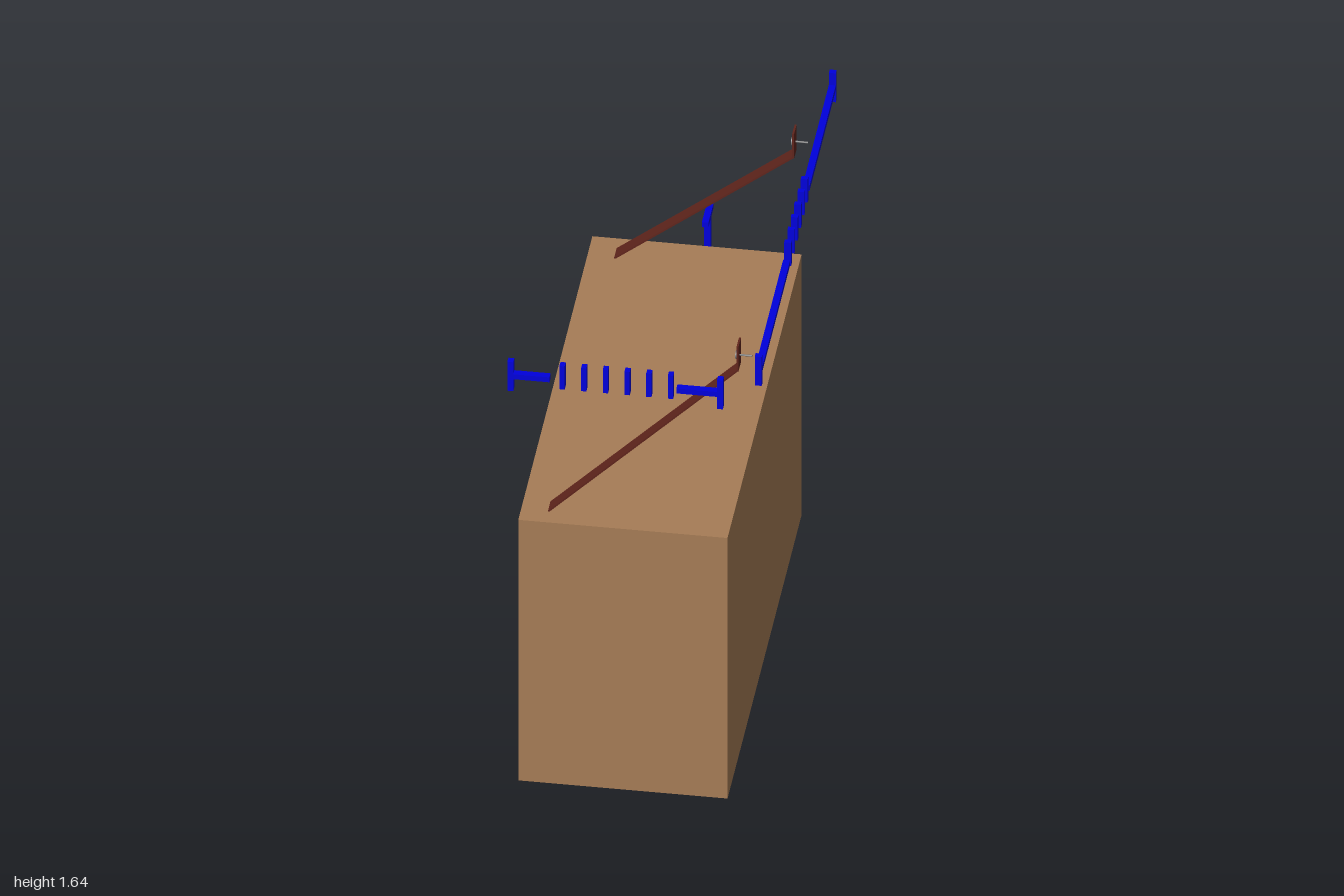
import * as THREE from 'three';

export function createModel() {
  const model = new THREE.Group();
  const mat = (name, color) => {
    const m = new THREE.MeshStandardMaterial({ color });
    m.name = name;
    return m;
  };
  const wood = mat('wood', 0xa67c56);
  const leather = mat('leather', 0x60251c);
  const metal = mat('metal', 0x777777);
  const blue = mat('dimension blue', 0x0000dc);

  const add = (parent, name, geometry, material) => {
    const mesh = new THREE.Mesh(geometry, material);
    mesh.name = name;
    parent.add(mesh);
    return mesh;
  };
  const group = (name) => {
    const g = new THREE.Group();
    g.name = name;
    model.add(g);
    return g;
  };
  // Box given by its lower and upper limits on each axis
  const block = (parent, name, material, [x0, x1], [y0, y1], [z0, z1]) => {
    const geometry = new THREE.BoxGeometry(x1 - x0, y1 - y0, z1 - z0);
    geometry.translate((x0 + x1) / 2, (y0 + y1) / 2, (z0 + z1) / 2);
    return add(parent, name, geometry, material);
  };

  // Cabinet limits
  const X0 = -0.367, X1 = 0.268, H = 0.957, Z0 = -0.639, Z1 = 0.853, T = 0.02;
  const midZ = (Z0 + Z1) / 2;

  // Cabinet carcass, open towards -x
  const cabinet = group('cabinet');
  block(cabinet, 'topPanel', wood, [X0, X1], [H - T, H], [Z0, Z1]);
  block(cabinet, 'bottomPanel', wood, [X0, X1], [0, T], [Z0, Z1]);
  block(cabinet, 'sidePanelFront', wood, [X0, X1], [T, H - T], [Z1 - T, Z1]);
  block(cabinet, 'sidePanelRear', wood, [X0, X1], [T, H - T], [Z0, Z0 + T]);
  block(cabinet, 'wallPanel', wood, [X1 - T, X1], [T, H - T], [Z0 + T, Z1 - T]);

  // Two sliding doors on separate tracks, each with a round finger hole
  const addDoor = (name, z0, z1, holeZ, outerX) => {
    const shape = new THREE.Shape();
    shape.moveTo(z0, T).lineTo(z1, T).lineTo(z1, H - T).lineTo(z0, H - T).closePath();
    const hole = new THREE.Path();
    hole.absarc(holeZ, H / 2 - 0.007, 0.055, 0, Math.PI * 2, true);
    shape.holes.push(hole);
    const geometry = new THREE.ExtrudeGeometry(shape, { depth: T, bevelEnabled: false, curveSegments: 16 });
    geometry.rotateY(-Math.PI / 2).translate(outerX + T, 0, 0);
    add(cabinet, name, geometry, wood);
  };
  addDoor('outerSlidingDoor', Z0 + T, midZ + 0.01, midZ - 0.515, X0 + 0.047);
  addDoor('innerSlidingDoor', midZ - 0.02, Z1 - T, midZ + 0.555, X0 + 0.069);

  // Hanging straps: sloping band, upright wall tab and nail, mirrored about the middle
  const tabX = 0.274, tabY = 1.46, footX = -0.285;
  for (const side of [1, -1]) {
    const hanger = group(side > 0 ? 'frontHanger' : 'rearHanger');
    const footZ = midZ + side * 0.666, tabZ = midZ + side * 0.561;

    const band = new THREE.BoxGeometry(1, 0.007, 0.05);
    const p = band.attributes.position;
    for (let i = 0; i < p.count; i++) {
      const t = p.getX(i) + 0.5;
      p.setXYZ(i,
        THREE.MathUtils.lerp(footX, tabX, t),
        THREE.MathUtils.lerp(H, tabY, t) + p.getY(i),
        THREE.MathUtils.lerp(footZ, tabZ, t) + p.getZ(i));
    }
    band.computeVertexNormals();
    add(hanger, 'strap', band, leather);
    block(hanger, 'strapTab', leather, [tabX - 0.003, tabX + 0.003], [tabY - 0.003, 1.547], [tabZ - 0.025, tabZ + 0.025]);

    const shank = add(hanger, 'nailShank', new THREE.CylinderGeometry(0.003, 0.003, 0.05, 10).rotateZ(Math.PI / 2), metal);
    shank.position.set(0.29, 1.502, tabZ);
    const head = add(hanger, 'nailHead', new THREE.CylinderGeometry(0.013, 0.013, 0.004, 16).rotateZ(Math.PI / 2), metal);
    head.position.set(0.267, 1.502, tabZ);
  }

  // Dimension markers: end ticks, a split line, and plain dashes in the gap
  const W = 0.018;
  const around = (c, half) => [c - half, c + half];
  const dashes = (count, a, b, make) => {
    for (let i = 0; i < count; i++) {
      const c = THREE.MathUtils.lerp(a + 0.008, b - 0.008, i / (count - 1));
      make(around(c, 0.008));
    }
  };

  // Depth marker, along x
  const depth = group('depthMarker');
  const dz = [0.978, 1.0], lineY = 1.586;
  for (const r of [[-0.376, -0.25], [0.135, 0.274]]) block(depth, 'line', blue, r, around(lineY, W / 2), dz);
  for (const x of [-0.369, 0.267]) block(depth, 'endTick', blue, around(x, W / 2), around(lineY, 0.053), dz);
  dashes(6, -0.22, 0.125, (r) => block(depth, 'dash', blue, r, [1.555, 1.64], dz));

  // Length marker, along z
  const length = group('lengthMarker');
  const lx = [0.352, 0.373];
  for (const r of [[Z0 - 0.005, -0.1], [0.29, Z1 + 0.005]]) block(length, 'line', blue, lx, around(lineY, W / 2), r);
  for (const z of [Z0, Z1]) block(length, 'endTick', blue, lx, around(lineY, 0.053), around(z, W / 2));
  dashes(6, -0.08, 0.27, (r) => block(length, 'dash', blue, lx, [1.56, 1.645], r));

  // Height marker, along y
  const height = group('heightMarker');
  const hx = [-0.053, -0.033], lineZ = -0.813;
  for (const r of [[0, 0.383], [0.571, H]]) block(height, 'line', blue, hx, r, around(lineZ, W / 2));
  for (const y of [W / 2, H - W / 2]) block(height, 'endTick', blue, hx, around(y, W / 2), around(lineZ, 0.053));
  dashes(6, -1.0, -0.65, (r) => block(height, 'dash', blue, hx, [0.445, 0.53], r));

  return model;
}
